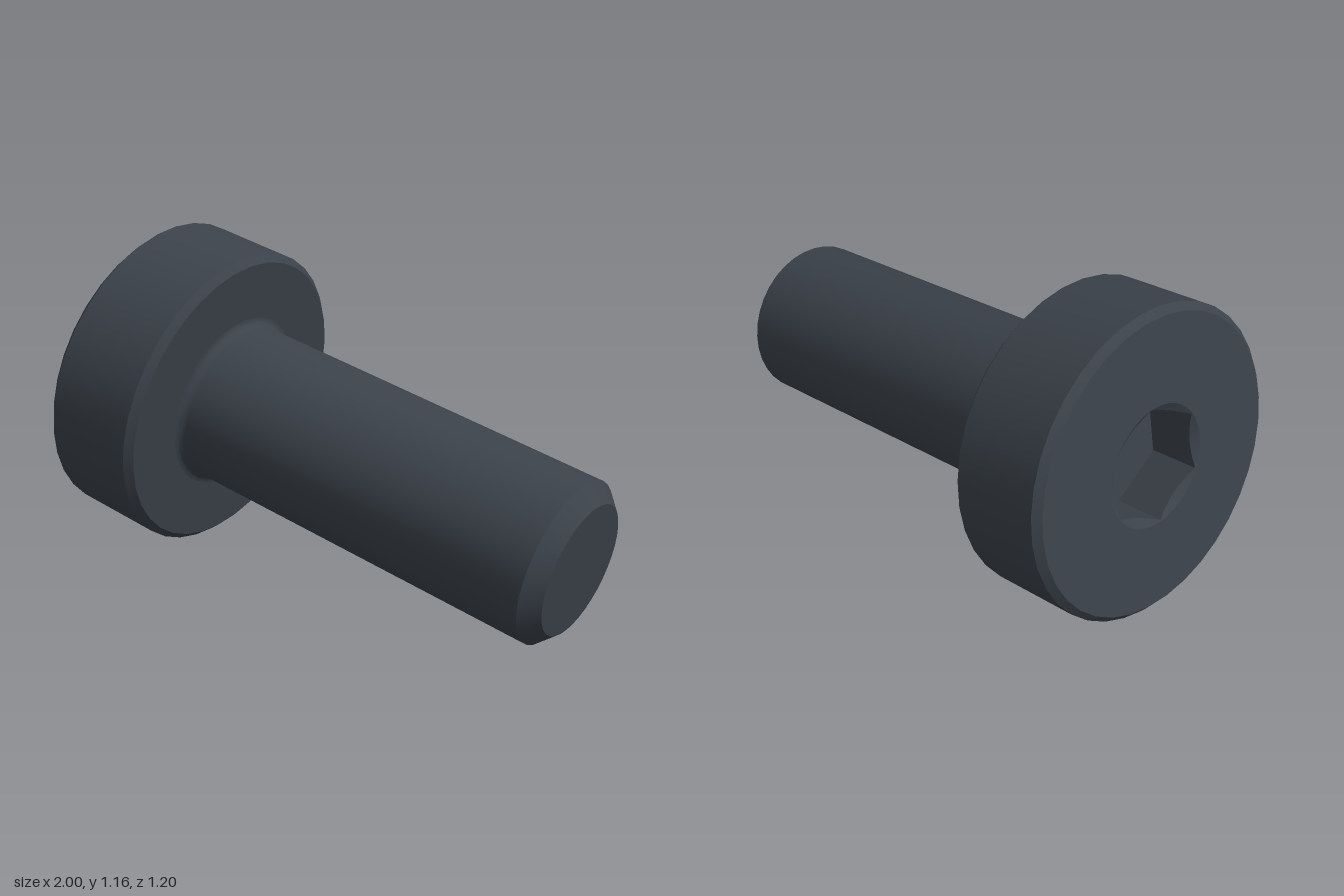
import * as THREE from 'three';
import { toCreasedNormals } from 'three/addons/utils/BufferGeometryUtils.js';

const SEGMENTS = 36;
const UNDER = 1.475;  // underside of the head, measured from the tip
const TOP = 1.86;     // top face of the head
const SHAFT_R = 0.295, HEAD_R = 0.56, SOCKET_R = 0.22, SOCKET_DEPTH = 0.19;

function turned(points) {
  return new THREE.LatheGeometry(points.map(([r, y]) => new THREE.Vector2(r, y)), SEGMENTS);
}

// Radius of a hexagon with corners at multiples of 60 degrees
function hexRadius(angle, corner) {
  const step = Math.PI / 3;
  const a = ((angle % step) + step) % step - step / 2;
  return corner * Math.cos(step / 2) / Math.cos(a);
}

export function createModel() {
  const steel = new THREE.MeshStandardMaterial({ color: 0x3b424a });
  steel.name = 'darkSteel';

  const screw = new THREE.Group();
  screw.name = 'socketScrew';
  const add = (name, geometry) => {
    const mesh = new THREE.Mesh(toCreasedNormals(geometry, 0.6), steel);
    mesh.name = name;
    screw.add(mesh);
  };

  // Shaft with chamfered tip and a small fillet under the head
  const fillet = 0.03;
  const shaft = [[0, 0], [0.236, 0], [SHAFT_R, 0.058]];
  for (let i = 0; i <= 5; i++) {
    const a = (i / 5) * Math.PI / 2;
    shaft.push([SHAFT_R + fillet * (1 - Math.cos(a)), UNDER - fillet * (1 - Math.sin(a))]);
  }
  add('shaft', turned(shaft));

  // Head with both rims chamfered
  const c = 0.025;
  add('head', turned([
    [SHAFT_R + fillet, UNDER], [HEAD_R - c, UNDER], [HEAD_R, UNDER + c],
    [HEAD_R, TOP - c], [HEAD_R - c, TOP], [SOCKET_R, TOP],
  ]));

  // Hex socket: round countersunk mouth, six walls and a flat floor
  const floor = TOP - SOCKET_DEPTH;
  const socket = turned([[SOCKET_R, TOP], [SOCKET_R, TOP], [SOCKET_R, floor], [0, floor]]);
  const pos = socket.attributes.position;
  for (let i = 0; i < pos.count; i++) {
    const row = i % 4;
    if (row !== 1 && row !== 2) continue;
    const angle = Math.atan2(pos.getX(i), pos.getZ(i));
    const r = hexRadius(angle, SOCKET_R - 0.003);
    const y = row === 1 ? TOP - (SOCKET_R - r) * 0.6 : floor;
    pos.setXYZ(i, r * Math.sin(angle), y, r * Math.cos(angle));
  }
  add('hexSocket', socket);

  // Lay the screw down so that it rests on its tip and the head rim
  const axis = new THREE.Vector3(-0.962, 0.181, -0.205).normalize();
  const up = new THREE.Vector3(0, 1, 0).addScaledVector(axis, -axis.y).normalize();
  const side = new THREE.Vector3().crossVectors(axis, up);
  screw.quaternion.setFromRotationMatrix(new THREE.Matrix4().makeBasis(side, axis, up));
  screw.position.set(0.936, 0.284, 0.325);

  const model = new THREE.Group();
  model.name = 'screw';
  model.add(screw);
  return model;
}
